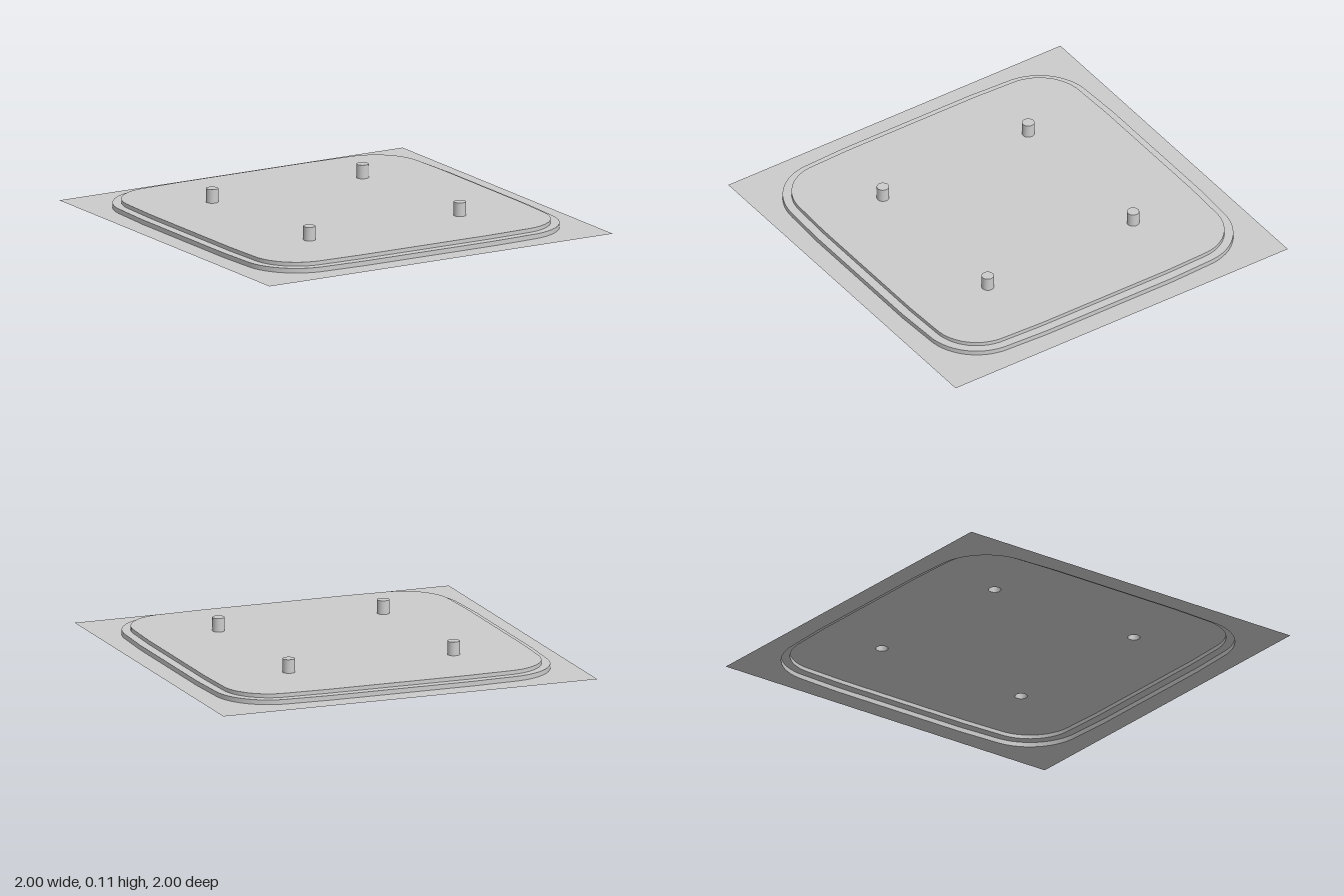
import * as THREE from 'three';

const material = new THREE.MeshStandardMaterial({ color: 0xcccccc, side: THREE.DoubleSide });

// Rounded square with slightly bowed sides, counter-clockwise
function outline(edge, bow, cornerCentre) {
  const points = [];
  const radius = edge - bow - cornerCentre;
  const steps = 14;
  for (let q = 0; q < 4; q++) {
    const side = [new THREE.Vector2(edge, -0.38), new THREE.Vector2(edge, 0.38)];
    for (let i = 0; i <= steps; i++) {
      const a = (i / steps) * Math.PI / 2;
      side.push(new THREE.Vector2(cornerCentre + radius * Math.cos(a), cornerCentre + radius * Math.sin(a)));
    }
    for (const p of side) points.push(p.rotateAround(new THREE.Vector2(), q * Math.PI / 2));
  }
  return points;
}

// Horizontal sheet at height y, with hole loops cut out
function sheet(name, points, holes, y) {
  const shape = new THREE.Shape(points);
  for (const h of holes) shape.holes.push(new THREE.Path(h));
  const geometry = new THREE.ShapeGeometry(shape);
  geometry.rotateX(-Math.PI / 2).translate(0, y, 0);
  const mesh = new THREE.Mesh(geometry, material);
  mesh.name = name;
  return mesh;
}

// Vertical band following a loop from y0 to y1
function wall(name, points, y0, y1) {
  const n = points.length;
  const positions = [];
  const index = [];
  points.forEach((p, i) => {
    positions.push(p.x, y0, -p.y, p.x, y1, -p.y);
    const a = 2 * i, b = 2 * ((i + 1) % n);
    index.push(a, b, b + 1, a, b + 1, a + 1);
  });
  const geometry = new THREE.BufferGeometry();
  geometry.setAttribute('position', new THREE.Float32BufferAttribute(positions, 3));
  geometry.setIndex(index);
  geometry.computeVertexNormals();
  const mesh = new THREE.Mesh(geometry, material);
  mesh.name = name;
  return mesh;
}

function circle(cx, cy, r, n = 28) {
  return Array.from({ length: n }, (_, i) => {
    const a = (i / n) * Math.PI * 2;
    return new THREE.Vector2(cx + r * Math.cos(a), cy + r * Math.sin(a));
  });
}

export function createModel() {
  const group = new THREE.Group();
  group.name = 'embossedPanel';
  const stepY = 0.024, topY = 0.044, pegY = 0.114;

  const square = [[-1, -1], [1, -1], [1, 1], [-1, 1]].map(([x, y]) => new THREE.Vector2(x, y));
  const outer = outline(0.896, 0.01, 0.6);
  const inner = outline(0.85, 0.008, 0.6);

  // Four hollow pegs on a slightly turned square
  const pegLoops = [0, 1, 2, 3].map((q) => {
    const c = new THREE.Vector2(0.434, 0.456).rotateAround(new THREE.Vector2(), q * Math.PI / 2);
    return circle(c.x, c.y, 0.031);
  });

  // Flat border, two raised steps and the main field
  group.add(
    sheet('border', square, [outer], 0),
    wall('lowerStepWall', outer, 0, stepY),
    sheet('stepLedge', outer, [inner], stepY),
    wall('upperStepWall', inner, stepY, topY),
    sheet('raisedField', inner, pegLoops, topY),
  );

  pegLoops.forEach((loop, i) => {
    const peg = new THREE.Group();
    peg.name = `peg${i + 1}`;
    peg.add(wall('pegWall', loop, topY, pegY), sheet('pegCap', loop, [], pegY));
    group.add(peg);
  });
  return group;
}
